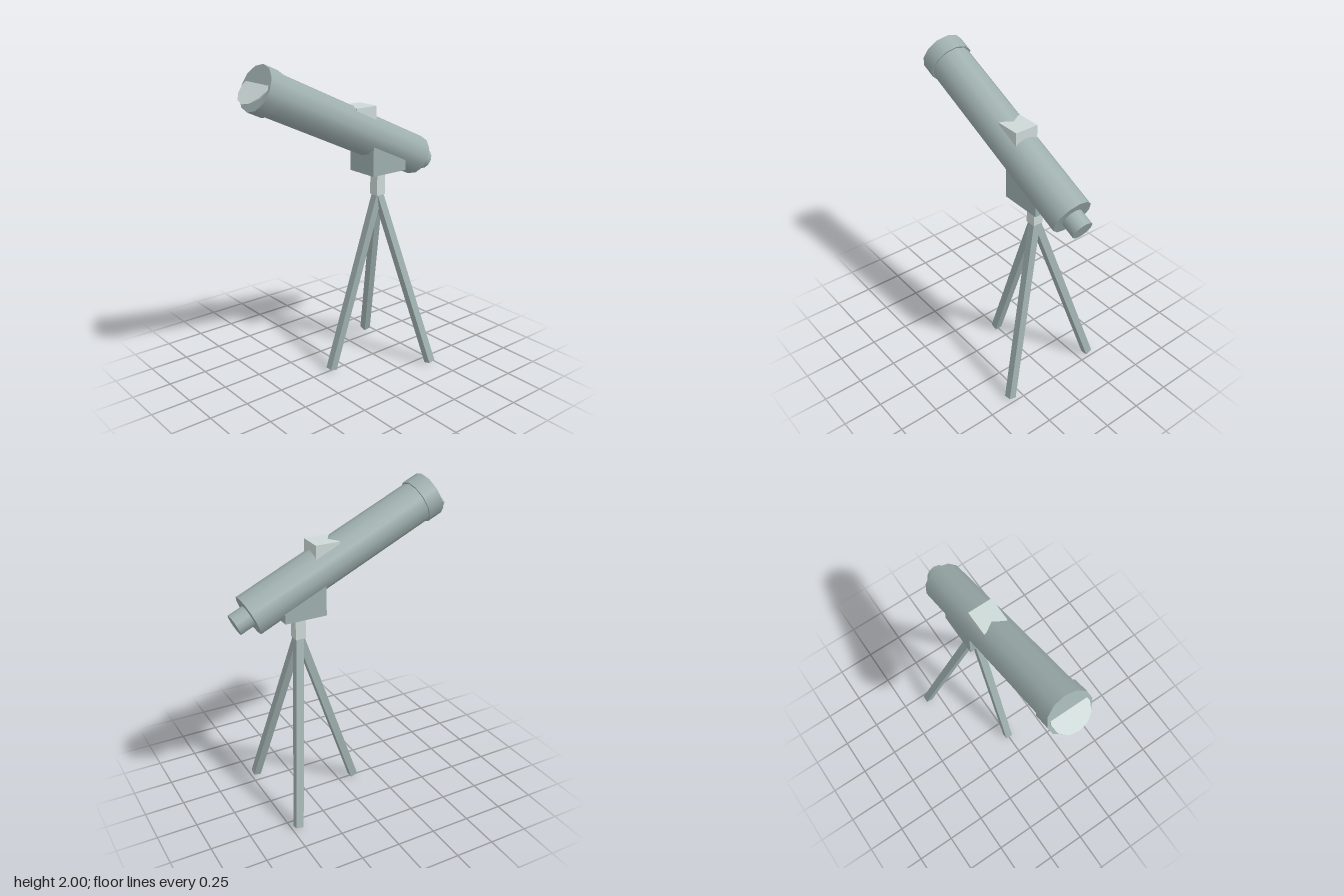
import * as THREE from 'three';

export function createModel() {
  const model = new THREE.Group();
  const grey = new THREE.MeshStandardMaterial({ color: 0x9eafae });
  grey.name = 'sage grey';
  const pale = new THREE.MeshStandardMaterial({ color: 0xcdd9d7 });
  pale.name = 'pale grey';

  function add(parent, name, geometry, material, x, y, z) {
    const mesh = new THREE.Mesh(geometry, material);
    mesh.name = name;
    mesh.position.set(x, y, z);
    parent.add(mesh);
    return mesh;
  }
  const tube = (r, length) => new THREE.CylinderGeometry(r, r, length, 12);
  const box = (w, h, d) => new THREE.BoxGeometry(w, h, d);

  // Optical tube, with its origin at the rear end and its local y along the axis
  const telescope = new THREE.Group();
  telescope.name = 'telescope';
  telescope.position.set(0, 1.327, -0.583);
  telescope.rotation.x = THREE.MathUtils.degToRad(65.4);
  model.add(telescope);
  add(telescope, 'barrel', tube(0.127, 1.25), grey, 0, 0.625, 0);
  add(telescope, 'frontCap', tube(0.137, 0.1), grey, 0, 1.266, 0);
  add(telescope, 'eyepiece', tube(0.066, 0.14), grey, 0, -0.027, 0);

  // Tilted pale disc that juts out of the front cap
  const lid = add(model, 'lensDisc', tube(0.117, 0.008), pale, 0, 1.879, 0.617);
  lid.rotation.x = THREE.MathUtils.degToRad(46);

  // Level blocks: finder on top, cradle and post below
  add(model, 'finder', box(0.152, 0.15, 0.152), pale, 0, 1.625, -0.111);
  add(model, 'cradle', box(0.22, 0.2, 0.265), grey, 0, 1.376, -0.272);
  add(model, 'post', box(0.066, 0.18, 0.066), pale, 0, 1.21, -0.272);

  // Three square legs splayed evenly, each tilted straight over from upright
  const up = new THREE.Vector3(0, 1, 0);
  for (let i = 0; i < 3; i++) {
    const angle = (i * Math.PI * 2) / 3;
    const head = new THREE.Vector3(0, 1.13, -0.272);
    const foot = new THREE.Vector3(0.377 * Math.sin(angle), 0.009, -0.272 + 0.377 * Math.cos(angle));
    const middle = head.clone().add(foot).multiplyScalar(0.5);
    const leg = add(model, 'tripodLeg' + (i + 1), box(0.048, head.distanceTo(foot), 0.048),
      grey, middle.x, middle.y, middle.z);
    leg.quaternion.setFromUnitVectors(up, head.sub(foot).normalize());
  }
  return model;
}
